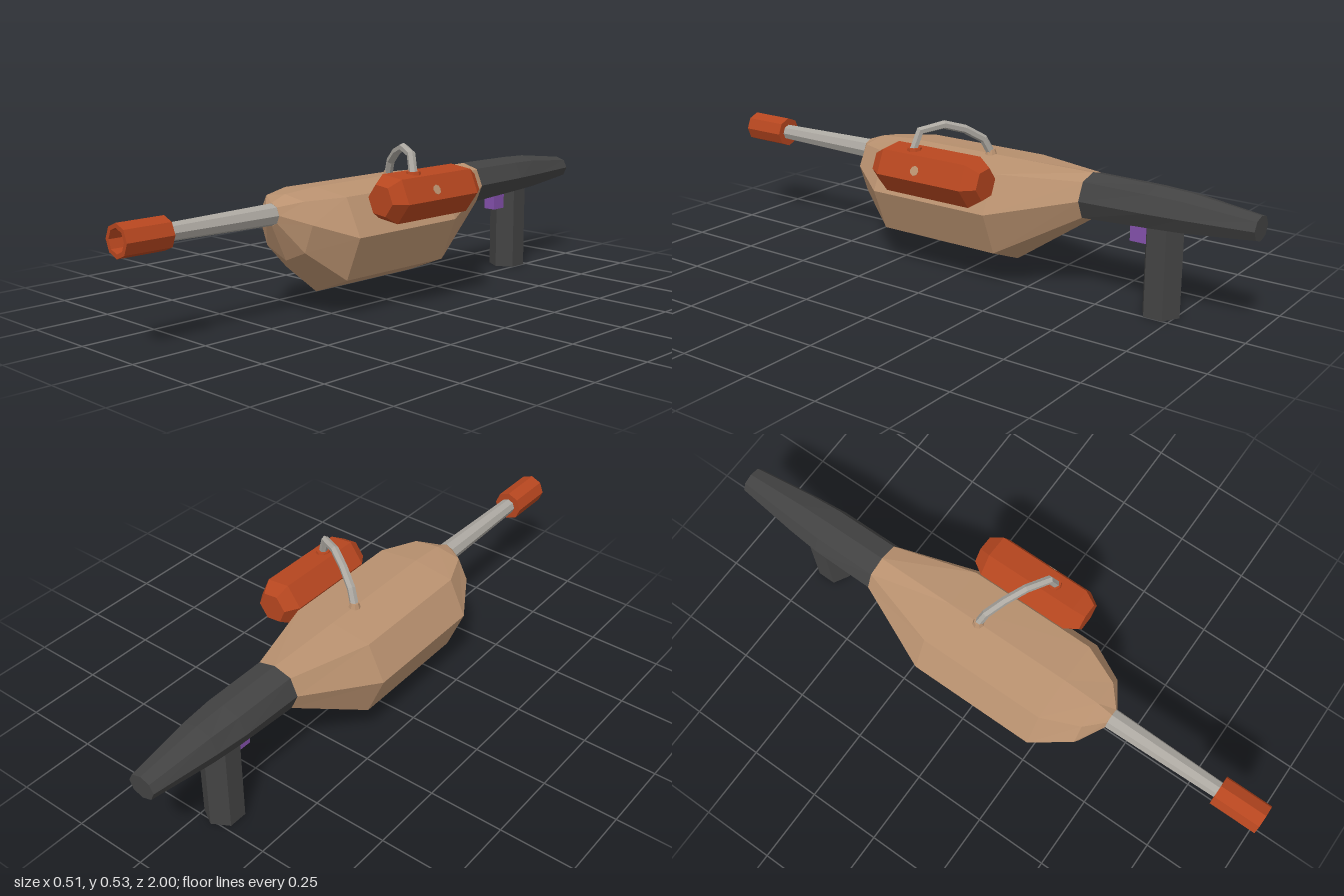
import * as THREE from 'three';

const mat = (name, color) => {
  const m = new THREE.MeshStandardMaterial({ color, flatShading: true });
  m.name = name;
  return m;
};

// Eight-sided hull through sections [z, halfWidth, top, upper, side, lower, bottom], front to back
function loft(sections) {
  const pos = [], idx = [];
  const xs = [0, 0.707, 1, 0.707, 0, -0.707, -1, -0.707];
  const ys = [2, 3, 4, 5, 6, 5, 4, 3];
  for (const s of sections) xs.forEach((x, i) => pos.push(x * s[1], s[ys[i]], s[0]));
  const n = sections.length;
  for (let j = 0; j < n - 1; j++) {
    for (let i = 0; i < 8; i++) {
      const a = j * 8 + i, b = j * 8 + (i + 1) % 8, c = a + 8, d = b + 8;
      idx.push(a, b, c, b, d, c);
    }
  }
  // End caps
  const e = (n - 1) * 8;
  for (let i = 1; i < 7; i++) idx.push(0, i + 1, i, e, e + i, e + i + 1);
  const g = new THREE.BufferGeometry();
  g.setAttribute('position', new THREE.Float32BufferAttribute(pos, 3));
  g.setIndex(idx);
  const flat = g.toNonIndexed();
  flat.computeVertexNormals();
  return flat;
}

// Turned profile of [radius, z] points around the z axis
function turned(profile, sides) {
  const g = new THREE.LatheGeometry(profile.map(([r, z]) => new THREE.Vector2(r, z)), sides);
  g.rotateX(Math.PI / 2);
  return g;
}

export function createModel() {
  const root = new THREE.Group();
  root.name = 'blaster';
  const tan = mat('tan shell', 0xba9270);
  const orange = mat('orange', 0xb6461f);
  const dark = mat('dark grey', 0x434343);
  const steel = mat('steel grey', 0xaca8a1);
  const purple = mat('purple', 0x8350ab);
  const add = (name, geometry, material, x = 0, y = 0, z = 0) => {
    const m = new THREE.Mesh(geometry, material);
    m.name = name;
    m.position.set(x, y, z);
    root.add(m);
  };
  const cx = -0.054, by = 0.337;

  // Main shell and rear stock
  add('body', loft([
    [0.445, 0.036, 0.373, 0.362, 0.337, 0.312, 0.301],
    [0.39, 0.124, 0.393, 0.38, 0.312, 0.221, 0.185],
    [0.265, 0.2, 0.402, 0.385, 0.265, 0.123, 0.065],
    [-0.175, 0.2, 0.403, 0.385, 0.265, 0.123, 0.065],
    [-0.45, 0.085, 0.404, 0.388, 0.332, 0.275, 0.255],
  ]), tan, cx);
  add('stock', loft([
    [-0.448, 0.086, 0.405, 0.389, 0.332, 0.274, 0.254],
    [-0.67, 0.084, 0.403, 0.388, 0.335, 0.285, 0.268],
    [-0.78, 0.074, 0.399, 0.384, 0.335, 0.289, 0.275],
    [-1, 0.047, 0.372, 0.362, 0.335, 0.306, 0.295],
  ]), dark, cx);

  // Grip and trigger
  add('grip', new THREE.CylinderGeometry(0.063, 0.063, 0.29, 6), dark, cx, 0.145, -0.7);
  add('trigger', new THREE.BoxGeometry(0.045, 0.06, 0.08), purple, cx, 0.25, -0.635);

  // Barrel and hollow nozzle
  add('barrel', turned([[0.035, 0.43], [0.027, 0.86]], 8), steel, cx, by);
  add('nozzle', turned([[0, 0.84], [0.051, 0.84], [0.051, 1], [0.037, 1], [0.037, 0.91]], 8), orange, cx, by);
  add('bore', turned([[0.037, 0.91], [0, 0.865]], 8), tan, cx, by);

  // Side canister with bevelled ends, rolled slightly
  const tx = 0.171, ty = 0.376, roll = -6.5 * Math.PI / 180;
  const tank = turned([[0, -0.203], [0.052, -0.203], [0.081, -0.16], [0.081, 0.16], [0.052, 0.203], [0, 0.203]], 6);
  tank.rotateZ(Math.PI / 2 + roll);
  add('canister', tank, orange, tx, ty);

  // Pin joining canister to body, its end just proud of the outer face
  const pin = new THREE.CylinderGeometry(0.016, 0.016, 0.191, 8);
  pin.translate(0, -0.0245, 0);
  pin.rotateZ(-Math.PI / 2 + Math.PI / 6 + roll);
  add('mountPin', pin, tan, tx + 0.003, ty - 0.007, 0.02);

  // Hose in five straight lengths, with its two sockets
  const hose = new THREE.CatmullRomCurve3([[-0.053, 0.408], [-0.03, 0.455], [0.027, 0.494],
    [0.09, 0.516], [0.161, 0.504], [0.183, 0.44]]
    .map(([x, y]) => new THREE.Vector3(x, y, -0.065 + (x + 0.054) * 0.565)));
  hose.getUtoTmapping = (u) => u;
  add('hose', new THREE.TubeGeometry(hose, 5, 0.014, 6), steel);
  add('bodySocket', new THREE.CylinderGeometry(0.014, 0.024, 0.03, 8), tan, cx, 0.403, -0.065);
  add('canisterSocket', new THREE.CylinderGeometry(0.022, 0.03, 0.03, 8), orange, 0.179, 0.438, 0.065);
  return root;
}
